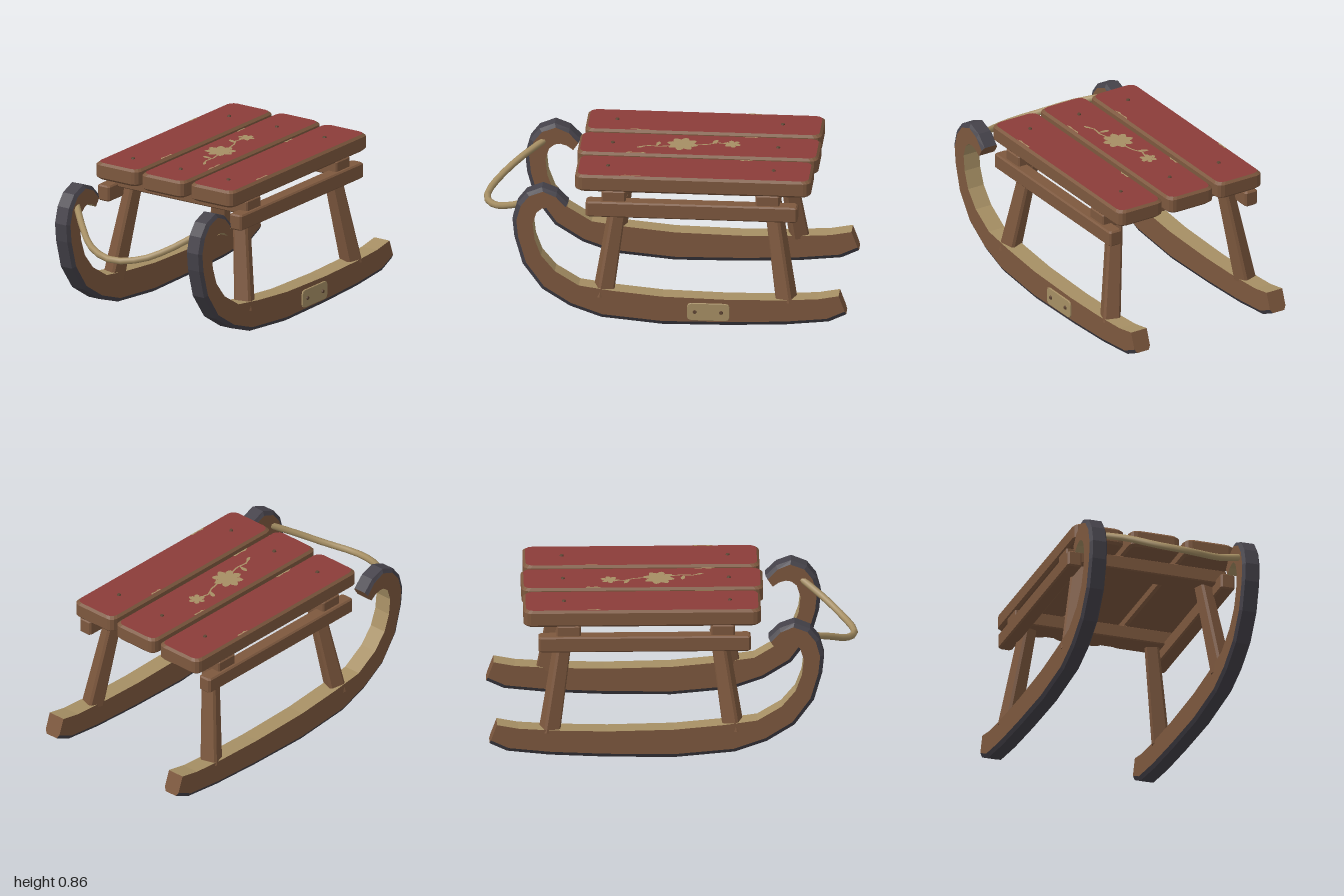
import * as THREE from 'three';

const mat = (name, color) => {
  const m = new THREE.MeshStandardMaterial({ color });
  m.name = name;
  return m;
};

export function createModel() {
  const wood = mat('wood', 0x7d583e);
  const paleWood = mat('pale wood', 0xa68f64);
  const iron = mat('iron', 0x45424a);
  const red = mat('red paint', 0x8b3c39);
  const nailMat = mat('nail', 0x5f4634);
  for (const m of [wood, paleWood, iron, red, nailMat]) m.flatShading = true;
  const model = new THREE.Group();

  const add = (name, geometry, material, x = 0, y = 0, z = 0) => {
    const mesh = new THREE.Mesh(geometry, material);
    mesh.name = name;
    mesh.position.set(x, y, z);
    model.add(mesh);
    return mesh;
  };

  // Skin a list of rings; sideMat(i) and endMat choose material indices
  const loft = (rings, sideMat = () => 0, endMat = 0) => {
    const lists = [[], [], []];
    const tri = (m, ...p) => p.forEach(v => lists[m].push(...v));
    const n = rings[0].length;
    for (let r = 0; r + 1 < rings.length; r++) {
      const a = rings[r], b = rings[r + 1];
      for (let i = 0; i < n; i++) {
        const j = (i + 1) % n;
        tri(sideMat(i), a[i], b[i], b[j]);
        tri(sideMat(i), a[i], b[j], a[j]);
      }
    }
    const s = rings[0], e = rings[rings.length - 1];
    for (let i = 1; i + 1 < n; i++) {
      tri(0, s[0], s[i], s[i + 1]);
      tri(endMat, e[0], e[i + 1], e[i]);
    }
    const g = new THREE.BufferGeometry();
    g.setAttribute('position', new THREE.Float32BufferAttribute(lists.flat(), 3));
    let start = 0;
    lists.forEach((l, m) => {
      if (l.length) g.addGroup(start, l.length / 3, m);
      start += l.length / 3;
    });
    g.computeVertexNormals();
    return g;
  };

  // Horizontal rectangle ring with cut or rounded corners
  const rectRing = (w, d, c, y, steps) => {
    const pts = [];
    [[1, 1], [-1, 1], [-1, -1], [1, -1]].forEach(([sx, sz], q) => {
      for (let k = 0; k <= steps; k++) {
        const a = (q + k / steps) * Math.PI / 2;
        pts.push([sx * (w / 2 - c) + c * Math.cos(a), y, sz * (d / 2 - c) + c * Math.sin(a)]);
      }
    });
    return pts;
  };
  const slab = (w, h, d, c, bevel, steps, endMat) => loft(
    [[-h / 2, bevel], [-h / 2 + bevel, 0], [h / 2 - bevel, 0], [h / 2, bevel]]
      .map(([y, s]) => rectRing(w - 2 * s, d - 2 * s, c, y, steps)), () => 0, endMat);

  // Runners: [outer x, outer y, inner x, inner y] from tail to curled tip
  const stations = [
    [0.995, 0.09, 0.955, 0.2], [0.9, 0.045, 0.84, 0.178], [0.67, 0.02, 0.64, 0.165],
    [0.37, 0.006, 0.36, 0.158], [0, 0, 0, 0.165], [-0.33, 0.03, -0.27, 0.19],
    [-0.5, 0.09, -0.45, 0.215], [-0.65, 0.185, -0.58, 0.295], [-0.755, 0.33, -0.655, 0.385],
    [-0.8, 0.49, -0.69, 0.48], [-0.81, 0.59, -0.7, 0.57], [-0.785, 0.68, -0.68, 0.635],
    [-0.735, 0.745, -0.65, 0.66], [-0.65, 0.78, -0.62, 0.665], [-0.57, 0.75, -0.585, 0.655],
    [-0.51, 0.69, -0.55, 0.63]];
  const runnerGeo = loft(stations.map(([ox, oy, ix, iy]) => {
    const k = 0.022 / Math.hypot(ix - ox, iy - oy);
    const mx = ox + (ix - ox) * k, my = oy + (iy - oy) * k;
    return [[ix, iy, 0.05], [mx, my, 0.05], [ox, oy, 0.037],
      [ox, oy, -0.037], [mx, my, -0.05], [ix, iy, -0.05]];
  }), i => [0, 1, 1, 1, 0, 2][i]);

  // Runners, side rails and splayed legs on both sides
  for (const s of [1, -1]) {
    const side = s > 0 ? 'front' : 'back';
    add(side + 'Runner', runnerGeo, [wood, iron, paleWood], 0, 0, s * 0.436);
    add(side + 'Rail', slab(1.145, 0.088, 0.08, 0.01, 0.008, 1, 0), [wood], 0.158, 0.66, s * 0.437);
    for (const e of [-1, 1]) {
      const section = (x, y, z, width) => rectRing(width, width, 0.012, 0, 1).map(([px, , pz]) => {
        const a = e * s * 0.35;
        return [x + px * Math.cos(a) - pz * Math.sin(a), y, z + px * Math.sin(a) + pz * Math.cos(a)];
      });
      add(side + (e < 0 ? 'Right' : 'Left') + 'Leg', loft([
        section(0.174 + e * 0.496, 0.15, s * 0.434, 0.096),
        section(0.174 + e * 0.414, 0.7, s * 0.353, 0.078)]), [wood]);
    }
  }

  // Cross beams under the seat
  for (const x of [-0.265, 0.567]) add('crossBeam', slab(0.13, 0.08, 0.914, 0.008, 0.006, 1, 0), [wood], x, 0.72, 0);

  // Seat planks with painted tops and nails
  const nailGeo = new THREE.CylinderGeometry(0.009, 0.013, 0.012, 8);
  [[-0.47, 0.81, -0.315], [-0.488, 0.815, 0], [-0.475, 0.8, 0.315]].forEach(([x0, x1, z]) => {
    add('seatPlank', slab(x1 - x0, 0.095, 0.287, 0.04, 0.013, 3, 1), [wood, red], (x0 + x1) / 2, 0.8025, z);
    for (const x of [-0.305, 0.59]) add('seatNail', nailGeo, nailMat, x, 0.851, z);
  });

  // Flat paint shapes on the seat, given as x and z
  const poly = pts => new THREE.Shape(pts.map(([x, z]) => new THREE.Vector2(x, -z)));
  const decal = (name, shapes) =>
    add(name, new THREE.ShapeGeometry(shapes, 6).rotateX(-Math.PI / 2), paleWood, 0, 0.852, 0);
  const leaf = (x, z, angle, length, width) => poly(
    [[0, 0], [0.35, 0.35], [0.7, 0.5], [0.92, 0.25], [1, 0], [0.92, -0.25], [0.7, -0.5], [0.35, -0.35]].map(([u, v]) => {
      const a = u * length, b = v * width;
      return [x + a * Math.cos(angle) - b * Math.sin(angle), z + a * Math.sin(angle) + b * Math.cos(angle)];
    }));
  const flower = (x, z, r, n, width, turn) => {
    const disc = new THREE.Shape();
    disc.absarc(x, -z, r * 0.36, 0, Math.PI * 2);
    const petals = Array.from({ length: n }, (_, i) => leaf(x, z, turn + i * Math.PI * 2 / n, r, width));
    return [disc, ...petals];
  };
  decal('largeFlower', flower(0.072, -0.005, 0.086, 8, 0.046, 0.2));
  decal('smallFlower', flower(0.34, -0.025, 0.048, 6, 0.03, 0.3));
  const stem = [[-0.17, 0.055], [-0.11, 0.028], [-0.05, 0.035], [0.02, 0.02], [0.15, 0], [0.21, -0.012], [0.26, -0.038], [0.32, -0.025]];
  decal('stem', poly([...stem.map(([x, z]) => [x, z - 0.005]), ...stem.map(([x, z]) => [x, z + 0.005]).reverse()]));
  decal('leaves', [leaf(-0.065, 0.034, -1.4, 0.065, 0.025), leaf(0.23, -0.02, -1.1, 0.065, 0.025),
    leaf(-0.12, 0.03, 2.6, 0.055, 0.018)]);

  // Worn patches along the plank edges
  for (const z of [-0.315, 0, 0.315]) for (const [x, s, w] of [[0.43, -1, 0.08], [-0.175, 1, 0.12]]) {
    const e = z + s * 0.13;
    decal('wornPatch', poly([[x - w / 2, e], [x + w / 2, e], [x + w * 0.38, e - s * 0.01],
      [x, e - s * 0.006], [x - w * 0.25, e - s * 0.012]]));
  }

  // Plate on the front runner
  add('plate', slab(0.23, 0.01, 0.1, 0.02, 0.002, 2, 0).rotateX(Math.PI / 2), [paleWood], 0.25, 0.085, 0.49);
  for (const x of [0.177, 0.32]) add('plateNail', nailGeo.clone().rotateX(Math.PI / 2), nailMat, x, 0.085, 0.496);

  // Sagging pull rope between the curled tips
  const ropePath = new THREE.CatmullRomCurve3([
    [-0.71, 0.665, 0.4], [-0.83, 0.595, 0.3], [-0.92, 0.543, 0.19], [-0.978, 0.522, 0.06],
    [-0.98, 0.527, -0.03], [-0.935, 0.555, -0.15], [-0.83, 0.62, -0.28], [-0.71, 0.675, -0.4]]
    .map(p => new THREE.Vector3(...p)));
  const rope = paleWood.clone();
  rope.name = 'rope';
  rope.flatShading = false;
  add('pullRope', new THREE.TubeGeometry(ropePath, 14, 0.019, 8), rope);

  return model;
}
